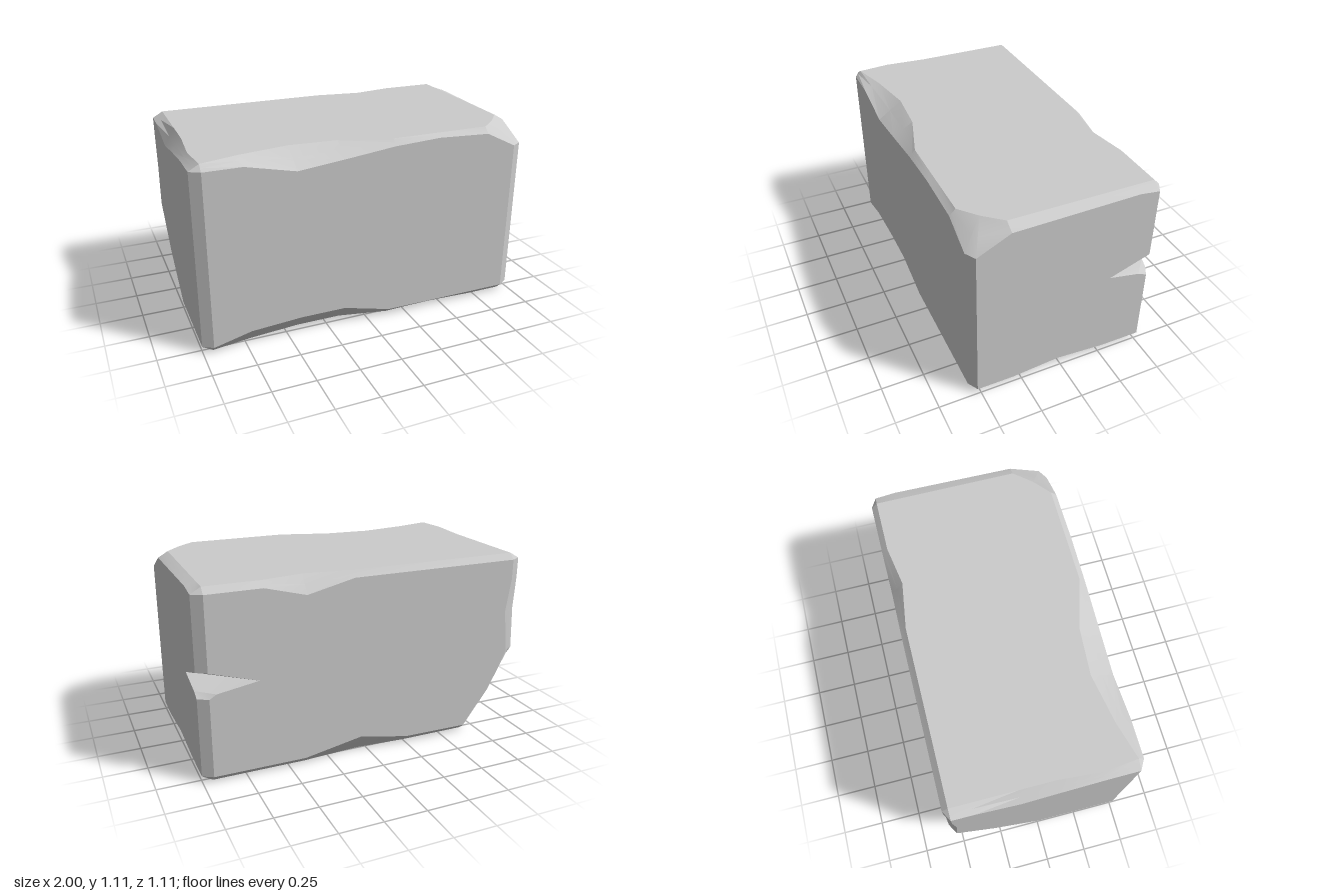
import * as THREE from 'three';
import { toCreasedNormals } from 'three/addons/utils/BufferGeometryUtils.js';

const HALF = [1, 0.555, 0.555];
const BEVEL = [0.06, 0.035, 0.035];

// Chipped corners, keyed by x, y, z sign: insets of the corner on the x, y and z face
const CORNERS = {
  '+++': [[0, 0.13, 0.035], [0.15, 0, 0.12], [0.06, 0.13, 0]],
  '---': [[0, 0.25, 0.27], [0.25, 0, 0.3], [0.18, 0.25, 0]],
};

// Worn edges, keyed by axis and the signs of the next two axes (cyclic).
// Each sample: position along the edge, inset along next axis, inset along the one after, extra depth
const EDGES = {
  '0++': [[-0.72, 0.035, 0.095], [-0.43, 0.1, 0.145], [-0.15, 0.07, 0.125], [0.15, 0.035, 0.035], [0.43, 0.02, 0.035], [0.75, 0.035, 0.035]],
  '0-+': [[-0.72, 0.09, 0.07], [-0.42, 0.11, 0.1], [-0.15, 0.11, 0.1], [0.14, 0.035, 0.04], [0.43, 0.035, 0.05], [0.72, 0.035, 0.035]],
  '0+-': [[0.1, 0.035, 0.035], [0.38, 0.1, 0.075], [0.62, 0.035, 0.035]],
  '0--': [[-0.66, 0.035, 0.04], [-0.25, 0.04, 0.04], [0.05, 0.1, 0.06], [0.4, 0.035, 0.035]],
  '1-+': [[-0.055, 0.035, 0.06], [-0.03, 0.09, 0.1], [0.008, 0.28, 0.34, 0.04], [0.095, 0.035, 0.06]],
  '1--': [[-0.055, 0.035, 0.06], [0.2, 0.05, 0.09], [0.4, 0.035, 0.06]],
  '2++': [[-0.4, 0.06, 0.02], [0.33, 0.06, 0.035]],
  '2-+': [[-0.4, 0.06, 0.04], [-0.14, 0.06, 0.1], [0.07, 0.06, 0.07], [0.33, 0.04, 0.04]],
  '2+-': [[-0.28, 0.06, 0.035], [0.02, 0.07, 0.06], [0.3, 0.06, 0.035]],
  '2--': [[0, 0.08, 0.04], [0.3, 0.06, 0.035]],
};

const mark = (s) => (s > 0 ? '+' : '-');

// Point where a corner meets the given face
function cornerPoint(signs, face) {
  const inset = CORNERS[signs.map(mark).join('')]?.[face] ?? BEVEL;
  return new THREE.Vector3(...signs.map((s, n) => s * (HALF[n] - (n === face ? 0 : inset[n]))));
}

// Rows across one edge: a point on each neighbouring face and one between them
function edgeRows(k, signs) {
  const i = (k + 1) % 3, j = (k + 2) % 3;
  const row = (pi, pj, depth = 0) => {
    const mid = pi.clone().lerp(pj, 0.5);
    for (const n of [i, j]) mid.setComponent(n, mid.getComponent(n) - signs[n] * depth);
    return { [i]: pi, [j]: pj, mid };
  };
  const end = (s) => {
    const c = signs.slice();
    c[k] = s;
    return row(cornerPoint(c, i), cornerPoint(c, j));
  };
  const samples = EDGES[k + mark(signs[i]) + mark(signs[j])] ?? [];
  const rows = samples.map(([t, ci, cj, depth]) => {
    const pi = new THREE.Vector3().setComponent(k, t);
    const pj = pi.clone();
    pi.setComponent(i, signs[i] * HALF[i]).setComponent(j, signs[j] * (HALF[j] - cj));
    pj.setComponent(j, signs[j] * HALF[j]).setComponent(i, signs[i] * (HALF[i] - ci));
    return row(pi, pj, depth);
  });
  return [end(-1), ...rows, end(1)];
}

function blockGeometry() {
  const positions = [];
  // Adds a triangle wound to face away from the centre
  const tri = (a, b, c) => {
    const normal = b.clone().sub(a).cross(c.clone().sub(a));
    if (normal.length() < 1e-7) return;
    const outward = normal.dot(a.clone().add(b).add(c)) > 0;
    for (const p of outward ? [a, b, c] : [a, c, b]) positions.push(p.x, p.y, p.z);
  };
  const quad = (a, b, c, d) => { tri(a, b, c); tri(a, c, d); };

  for (let k = 0; k < 3; k++) {
    const i = (k + 1) % 3, j = (k + 2) % 3;

    // Worn edge strips
    for (const si of [-1, 1]) for (const sj of [-1, 1]) {
      const signs = [0, 0, 0];
      signs[i] = si;
      signs[j] = sj;
      const rows = edgeRows(k, signs);
      for (let n = 1; n < rows.length; n++) {
        const p = rows[n - 1], q = rows[n];
        quad(p[i], p.mid, q.mid, q[i]);
        quad(p.mid, p[j], q[j], q.mid);
      }
    }

    // Flat faces, outlined by their four edges
    for (const s of [-1, 1]) {
      const side = (axis, other, so) => {
        const signs = [0, 0, 0];
        signs[k] = s;
        signs[other] = so;
        return edgeRows(axis, signs).map((r) => r[k]);
      };
      const outline = [
        ...side(i, j, -1).slice(0, -1),
        ...side(j, i, 1).slice(0, -1),
        ...side(i, j, 1).reverse().slice(0, -1),
        ...side(j, i, -1).reverse().slice(0, -1),
      ];
      const flat = outline.map((p) => new THREE.Vector2(p.getComponent(i), p.getComponent(j)));
      for (const [a, b, c] of THREE.ShapeUtils.triangulateShape(flat, [])) {
        tri(outline[a], outline[b], outline[c]);
      }
    }
  }

  // Corner facets
  for (const x of [-1, 1]) for (const y of [-1, 1]) for (const z of [-1, 1]) {
    tri(...[0, 1, 2].map((f) => cornerPoint([x, y, z], f)));
  }

  const geometry = new THREE.BufferGeometry();
  geometry.setAttribute('position', new THREE.Float32BufferAttribute(positions, 3));
  geometry.translate(0, HALF[1], 0);
  return toCreasedNormals(geometry, 0.3);
}

export function createModel() {
  const group = new THREE.Group();
  group.name = 'stoneBlock';
  const block = new THREE.Mesh(blockGeometry(), new THREE.MeshStandardMaterial({ color: 0xcccccc }));
  block.name = 'chippedBlock';
  group.add(block);
  return group;
}
